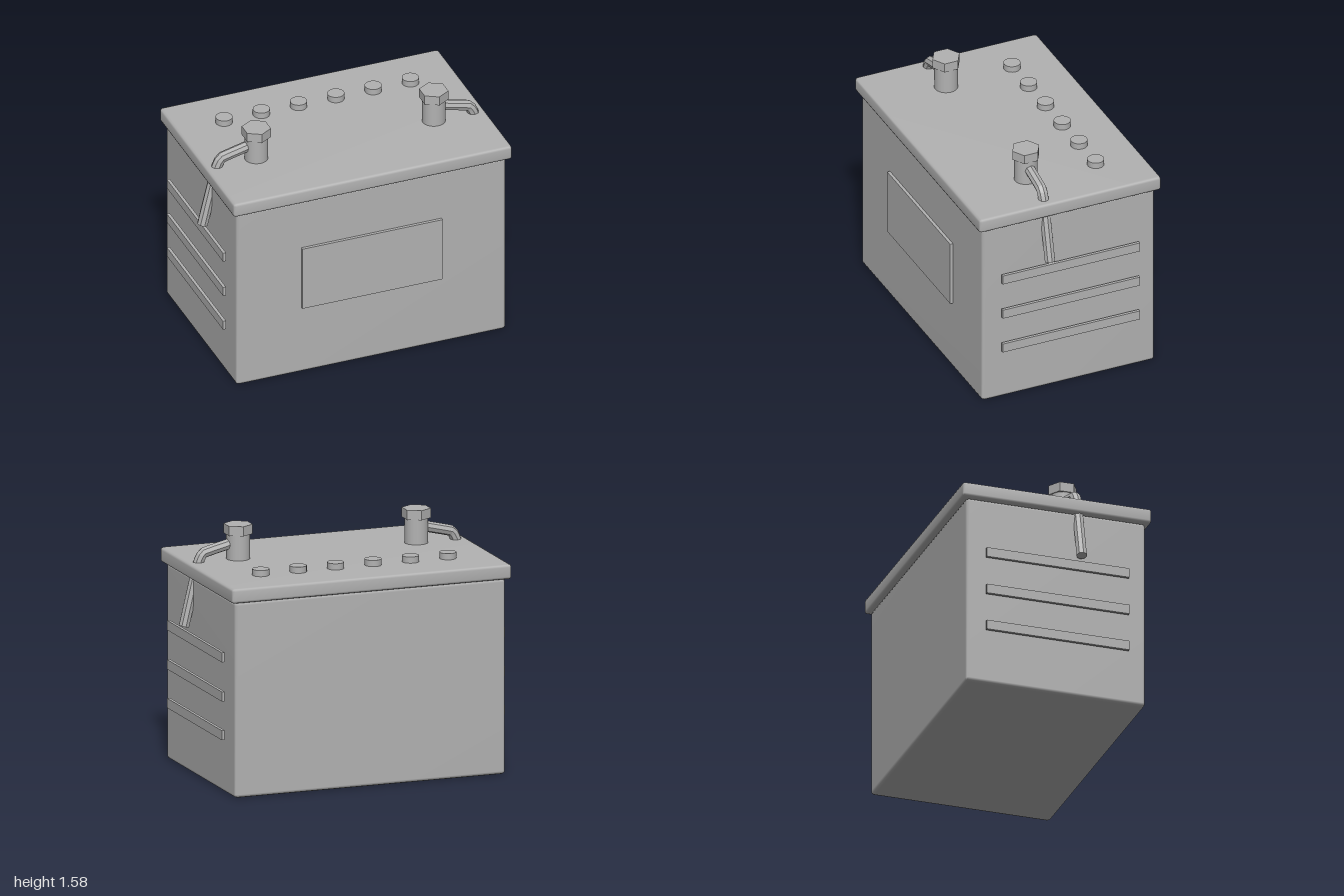
import * as THREE from 'three';
import { mergeVertices } from 'three/addons/utils/BufferGeometryUtils.js';
import { RoundedBoxGeometry } from 'three/addons/geometries/RoundedBoxGeometry.js';

const grey = new THREE.MeshStandardMaterial({ color: 0xb2b2b2 });
grey.name = 'grey';
const greyFaceted = grey.clone();
greyFaceted.flatShading = true;

function add(parent, name, geometry, x, y, z, material = grey) {
  const mesh = new THREE.Mesh(geometry, material);
  mesh.name = name;
  mesh.position.set(x, y, z);
  parent.add(mesh);
  return mesh;
}

// Box with narrow bevels, shaded smoothly across its edges
function softBox(w, h, d, bevel) {
  const g = new RoundedBoxGeometry(w, h, d, 1, bevel);
  g.deleteAttribute('uv');
  g.deleteAttribute('normal');
  const merged = mergeVertices(g, 1e-4);
  merged.computeVertexNormals();
  return merged;
}

// Post, hexagonal nut and bent cable on one side (side = 1 or -1)
function terminal(side) {
  const group = new THREE.Group();
  group.name = side > 0 ? 'leftTerminal' : 'rightTerminal';
  const z = 0.153;
  add(group, 'post', new THREE.CylinderGeometry(0.075, 0.075, 0.17, 24), side * 0.601, 1.443, z);
  add(group, 'nut', new THREE.CylinderGeometry(0.093, 0.093, 0.062, 6), side * 0.601, 1.553, z, greyFaceted);

  const points = [[0.6, 1.475], [0.7, 1.45], [0.838, 1.415], [0.868, 1.36], [0.9, 1.23], [0.966, 0.953]]
    .map(([x, y]) => new THREE.Vector3(side * x, y, z));
  const path = new THREE.CatmullRomCurve3(points, false, 'catmullrom', 0.15);
  add(group, 'cable', new THREE.TubeGeometry(path, 30, 0.035, 8), 0, 0, 0, greyFaceted);

  // Closed end of the cable
  const end = path.getPoint(1);
  const cap = add(group, 'cableEnd', new THREE.CircleGeometry(0.035, 8), end.x, end.y, end.z);
  cap.lookAt(end.clone().add(path.getTangent(1)));
  return group;
}

export function createModel() {
  const model = new THREE.Group();
  model.name = 'battery';

  // Case and lid
  add(model, 'case', softBox(1.828, 1.265, 1.196, 0.022), 0, 0.6325, 0);
  add(model, 'lid', softBox(1.888, 0.096, 1.258, 0.018), 0, 1.312, 0);

  // Front label plate
  add(model, 'labelPlate', new THREE.BoxGeometry(0.95, 0.44, 0.024), 0, 0.7, 0.606);

  // Row of filler caps
  for (let i = 0; i < 6; i++) {
    add(model, 'fillerCap', new THREE.CylinderGeometry(0.054, 0.054, 0.05, 20),
      (i - 2.5) * 0.2525, 1.375, -0.317);
  }

  for (const side of [1, -1]) {
    model.add(terminal(side));
    // Side ribs
    for (const y of [0.385, 0.635, 0.888]) {
      add(model, 'sideRib', new THREE.BoxGeometry(0.02, 0.062, 0.95), side * 0.946, y, 0);
    }
  }
  return model;
}
